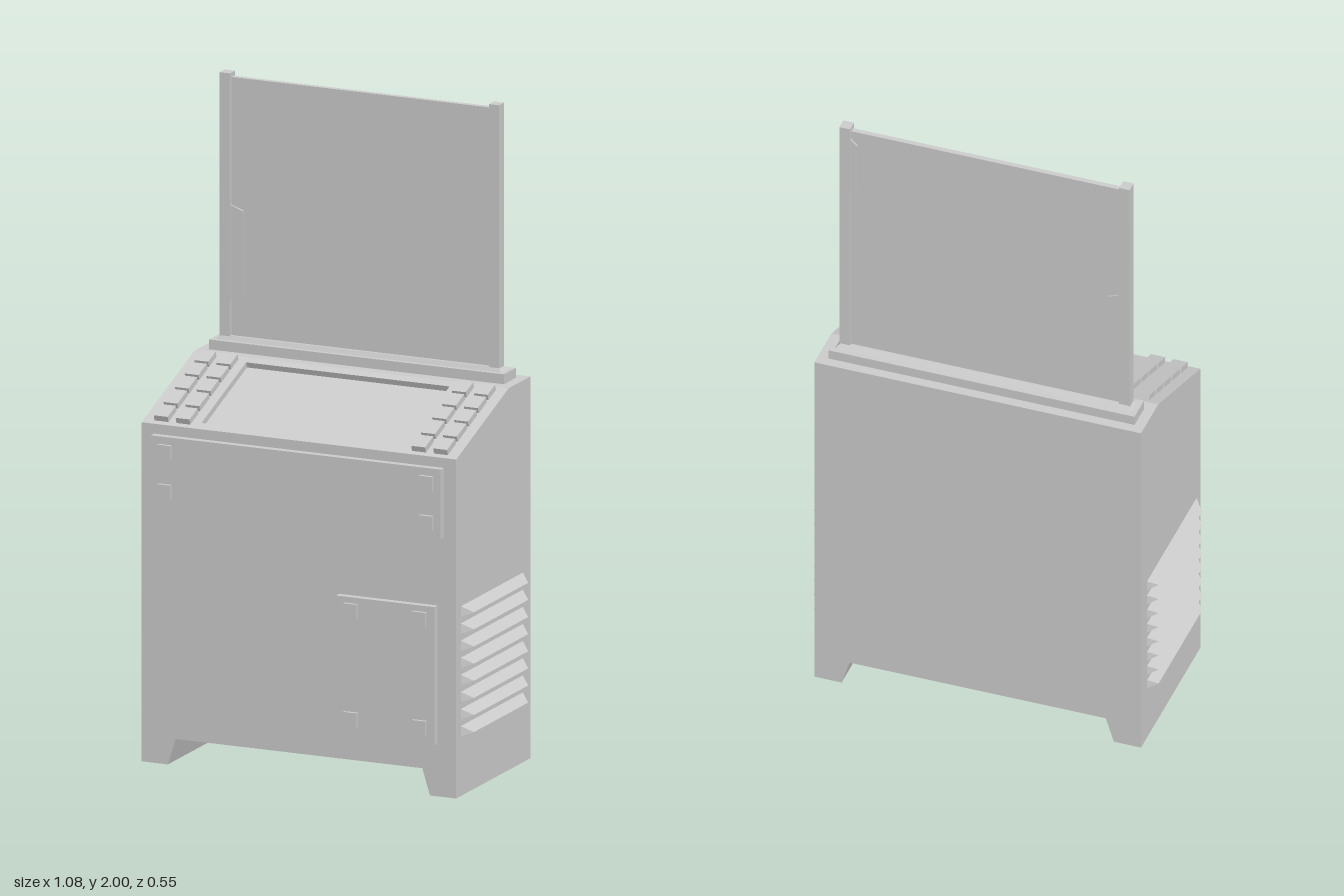
import * as THREE from 'three';
import { ConvexGeometry } from 'three/addons/geometries/ConvexGeometry.js';

const mat = new THREE.MeshStandardMaterial({ color: 0xcccccc, flatShading: true });

const FRONT = 0.24, BACK = -0.275, HALF = 0.51, FLOOR = 0.08;
const TOP = 1.16, LIP = 1.03, RIDGE = -0.125;
const SLOPE = Math.atan2(TOP - LIP, FRONT - RIDGE);
const deckY = z => LIP + (FRONT - z) * Math.tan(SLOPE);

const toShape = pts => new THREE.Shape(pts.map(p => new THREE.Vector2(p[0], p[1])));

function add(parent, name, geometry) {
  const mesh = new THREE.Mesh(geometry, mat);
  mesh.name = name;
  parent.add(mesh);
  return mesh;
}

// Box given by its limits
function box(parent, name, x0, x1, y0, y1, z0, z1) {
  const m = add(parent, name, new THREE.BoxGeometry(x1 - x0, y1 - y0, z1 - z0));
  m.position.set((x0 + x1) / 2, (y0 + y1) / 2, (z0 + z1) / 2);
  return m;
}

// Front outline (x, y) extruded from z0 to z1
function extrudeZ(parent, name, pts, z0, z1) {
  const g = new THREE.ExtrudeGeometry(toShape(pts), { depth: z1 - z0, bevelEnabled: false });
  return add(parent, name, g.translate(0, 0, z0));
}

// Side outline (z, y) extruded from x0 to x1
function extrudeX(parent, name, pts, x0, x1) {
  const g = new THREE.ExtrudeGeometry(toShape(pts), { depth: x1 - x0, bevelEnabled: false });
  return add(parent, name, g.rotateY(-Math.PI / 2).translate(x1, 0, 0));
}

// Panel with a square bolt at each corner
function boltedPanel(parent, name, x0, x1, y0, y1, boltXs, boltYs) {
  const group = new THREE.Group();
  group.name = name;
  parent.add(group);
  box(group, 'plate', x0, x1, y0, y1, FRONT, 0.262);
  for (const x of boltXs) for (const y of boltYs)
    box(group, 'bolt', x - 0.022, x + 0.022, y - 0.022, y + 0.022, 0.262, 0.272);
}

export function createModel() {
  const model = new THREE.Group();
  model.name = 'console';

  // Cabinet: full profile at the sides, sunken display in the middle
  const deck = (z, depth = 0) => [z - depth * Math.sin(-SLOPE) * -1, deckY(z) - depth * Math.cos(SLOPE)];
  const profile = notch => [
    [BACK, FLOOR], [FRONT, FLOOR], [FRONT, LIP], ...notch, [RIDGE, TOP], [BACK, TOP],
  ];
  const SCREEN = 0.33, sink = 0.018;
  const notch = [deck(0.21), deck(0.21, sink), deck(-0.1, sink), deck(-0.1)];
  extrudeX(model, 'cabinetRight', profile([]), -HALF, -SCREEN);
  extrudeX(model, 'cabinetLeft', profile([]), SCREEN, HALF);
  extrudeX(model, 'cabinetMiddle', profile(notch), -SCREEN, SCREEN);

  // Feet with sloping inner faces
  extrudeZ(model, 'leftFoot', [[0.425, 0], [HALF, 0], [HALF, FLOOR], [0.4, FLOOR]], BACK, FRONT);
  extrudeZ(model, 'rightFoot', [[-HALF, 0], [-0.425, 0], [-0.4, FLOOR], [-HALF, FLOOR]], BACK, FRONT);

  // Front panels
  boltedPanel(model, 'upperPanel', -0.47, 0.47, 0.79, 1.0, [-0.425, 0.425], [0.955, 0.835]);
  boltedPanel(model, 'accessPanel', 0.13, 0.45, 0.16, 0.58, [0.18, 0.402], [0.54, 0.21]);

  // Keys: two columns on each side of the display
  const rows = [[-0.11, -0.058], [-0.048, 0.01], [0.02, 0.079], [0.089, 0.156], [0.167, 0.224]];
  for (const x of [-0.453, -0.382, 0.382, 0.453]) for (const [z0, z1] of rows) {
    const z = (z0 + z1) / 2;
    const key = add(model, 'key', new THREE.BoxGeometry(0.045, 0.036, (z1 - z0) / Math.cos(SLOPE)));
    key.position.set(x, deckY(z), z);
    key.rotation.x = SLOPE;
  }

  // Side vents: stacked pointed louvres
  for (const side of [-1, 1]) for (let i = 0; i < 8; i++) {
    const y = 0.18 + i * 0.052, wall = side * (HALF - 0.002), tip = side * 0.538;
    const points = [
      [wall, y, 0.21], [wall, y, -0.225], [wall, y + 0.034, 0.21], [wall, y + 0.034, -0.225],
      [tip, y + 0.01, 0.177], [tip, y + 0.01, -0.2],
    ].map(p => new THREE.Vector3(...p));
    add(model, 'louvre', new ConvexGeometry(points));
  }

  // Screen base: a block with a tapered step
  box(model, 'screenBase', -0.478, 0.478, TOP, 1.19, -0.243, -0.16);
  const step = [];
  for (const [x, y, z0, z1] of [[0.463, 1.19, -0.226, -0.174], [0.45, 1.203, -0.215, -0.181]])
    for (const s of [-1, 1]) step.push(new THREE.Vector3(s * x, y, z0), new THREE.Vector3(s * x, y, z1));
  add(model, 'screenStep', new ConvexGeometry(step));

  // Posts and the clamps on their inner edges
  for (const s of [-1, 1])
    box(model, 'post', Math.min(s * 0.42, s * 0.453), Math.max(s * 0.42, s * 0.453), 1.19, 2, -0.215, -0.18);
  extrudeZ(model, 'rightClamp', [[-0.42, 1.31], [-0.38, 1.33], [-0.38, 1.585], [-0.42, 1.6]], -0.211, -0.184);
  extrudeZ(model, 'leftClamp', [[0.42, 1.76], [0.42, 1.96], [0.4, 1.94], [0.4, 1.775]], -0.211, -0.184);

  // Thin upright screen
  box(model, 'screen', -0.42, 0.42, 1.2, 1.987, -0.206, -0.19);

  return model;
}
